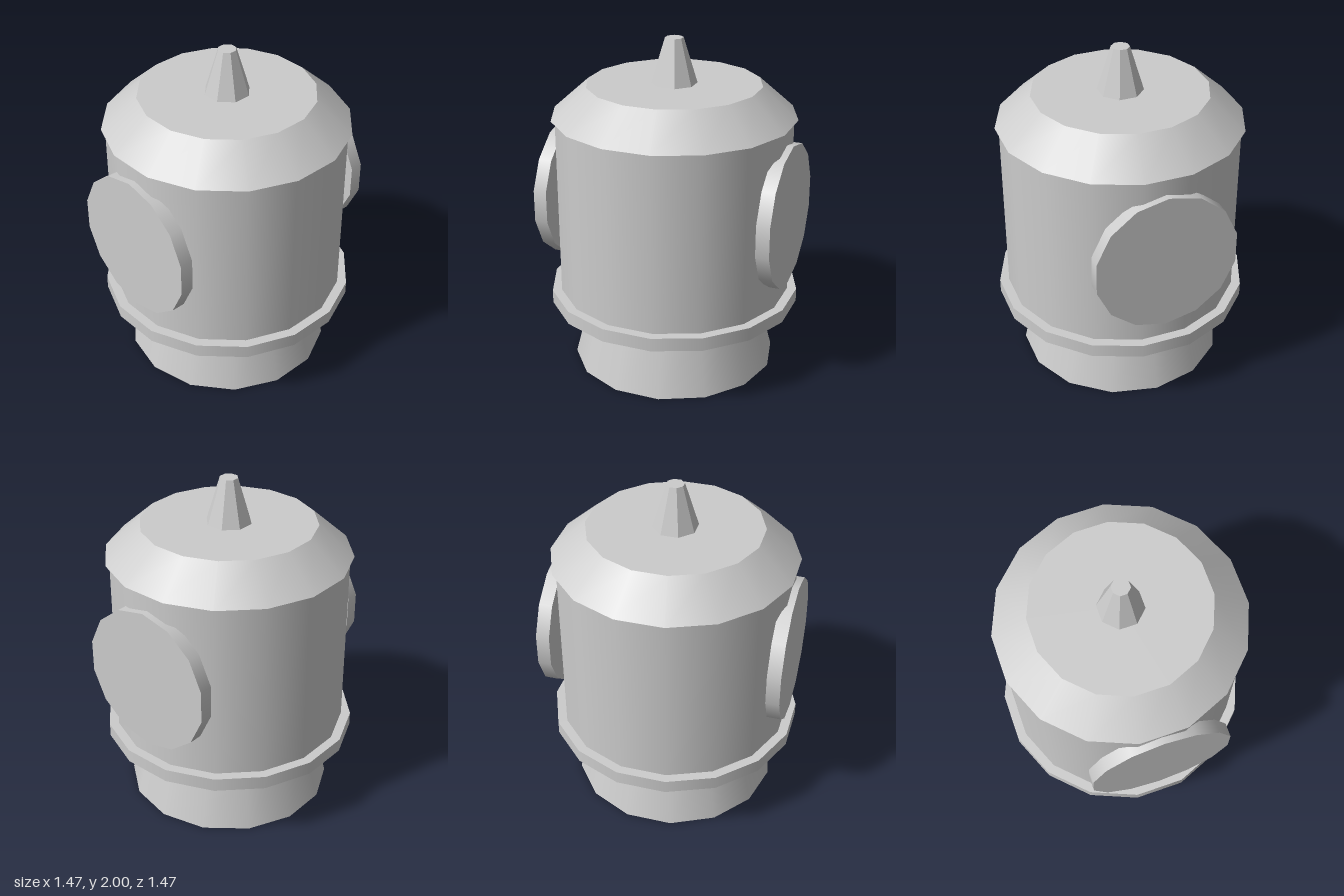
import * as THREE from 'three';

export function createModel() {
  const group = new THREE.Group();
  const grey = new THREE.MeshStandardMaterial({ color: 0xcccccc });
  grey.name = 'grey';

  // Upright drum or cone between two heights; turned so a flat side faces front if asked
  function drum(name, rTop, rBottom, y0, y1, sides, flatFront) {
    const start = flatFront ? Math.PI / sides : 0;
    const geo = new THREE.CylinderGeometry(rTop, rBottom, y1 - y0, sides, 1, false, start);
    const mesh = new THREE.Mesh(geo, grey);
    mesh.name = name;
    mesh.position.y = (y0 + y1) / 2;
    group.add(mesh);
    return mesh;
  }

  drum('base', 0.51, 0.613, 0, 0.4, 14, false);
  drum('flange', 0.75, 0.75, 0.4, 0.48, 16, true);
  drum('body', 0.694, 0.694, 0.48, 1.55, 16, true);
  drum('roof', 0.51, 0.717, 1.55, 1.735, 16, true);

  // Faceted spike on the roof
  const spike = drum('spike', 0.053, 0.133, 1.735, 2, 8, true);
  const faceted = spike.geometry.toNonIndexed();
  faceted.computeVertexNormals();
  spike.geometry = faceted;

  // Round plates on the front and back
  for (const side of [1, -1]) {
    const disc = new THREE.Mesh(new THREE.CylinderGeometry(0.425, 0.425, 0.08, 14), grey);
    disc.name = side > 0 ? 'frontDisc' : 'backDisc';
    disc.rotation.x = side * Math.PI / 2;
    disc.position.set(0, 1.017, side * 0.68);
    group.add(disc);
  }
  return group;
}
